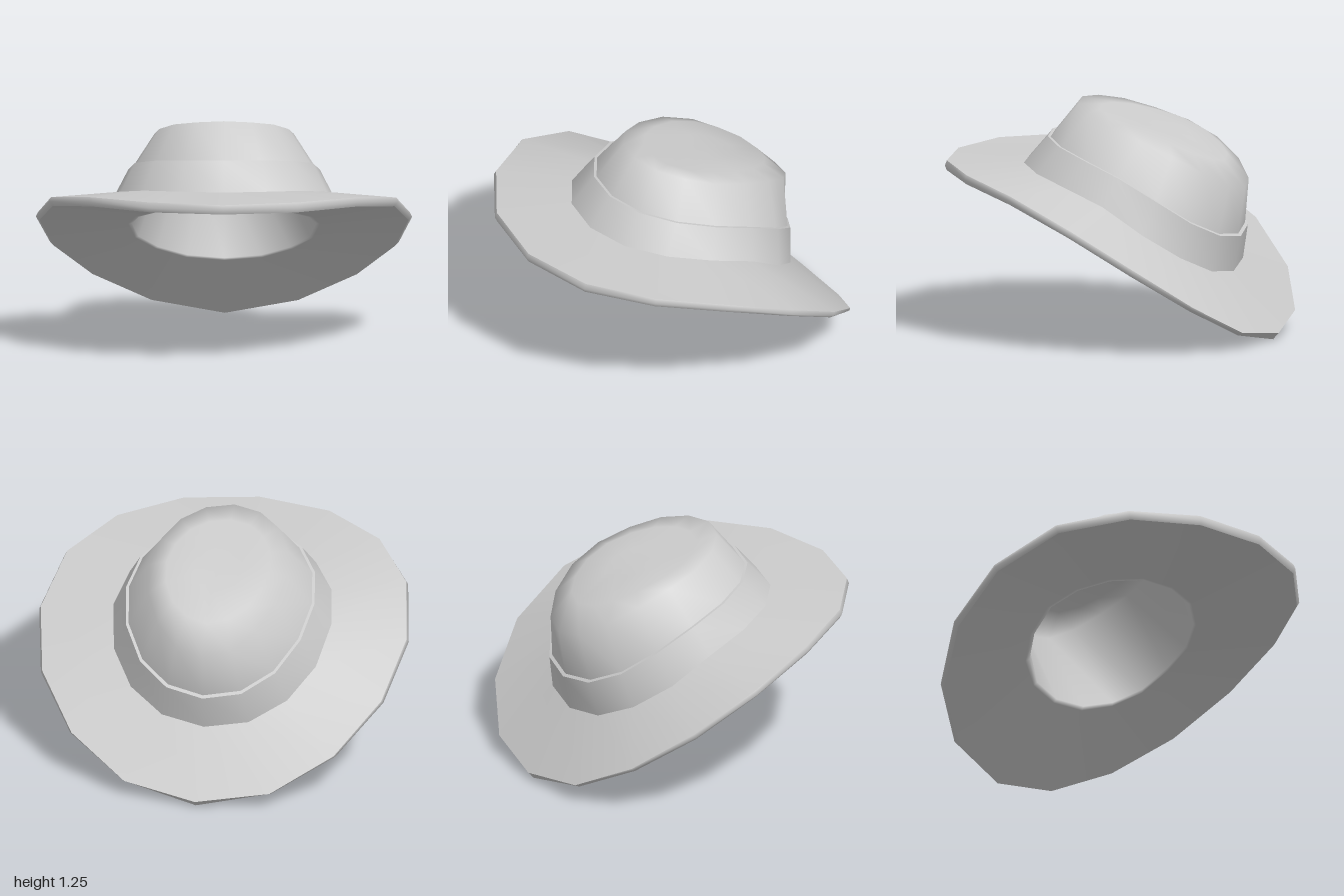
import * as THREE from 'three';
import { mergeVertices, toCreasedNormals } from 'three/addons/utils/BufferGeometryUtils.js';

const SIDES = 16;

// Height along z, read from [z, y] pairs running front to back
function heightAt(profile, z) {
  for (let i = 1; i < profile.length; i++) {
    const [z0, y0] = profile[i - 1], [z1, y1] = profile[i];
    if (z >= z1 || i === profile.length - 1) {
      const t = THREE.MathUtils.clamp((z0 - z) / (z0 - z1), 0, 1);
      return y0 + (y1 - y0) * t;
    }
  }
}

// Egg-shaped loop: half width, front z, back z, backward bow of the sides, height profile
function ring(halfWidth, front, back, bow, profile, lift = 0) {
  const pts = [];
  for (let k = 0; k < SIDES; k++) {
    const a = (k / SIDES) * Math.PI * 2, s = Math.sin(a);
    const x = halfWidth * Math.sign(s) * Math.abs(s) ** 0.96;
    const z = (front + back) / 2 + ((front - back) / 2) * Math.cos(a) - bow * s * s;
    pts.push([x, heightAt(profile, z) + lift, z]);
  }
  return pts;
}

// Skin a list of loops; crease = 0 keeps everything smooth
function loft(name, rings, crease = 0) {
  const pos = rings.flat(2), idx = [];
  for (let i = 0; i < rings.length - 1; i++) {
    for (let k = 0; k < SIDES; k++) {
      const n = (k + 1) % SIDES, a = i * SIDES, b = a + SIDES;
      idx.push(a + k, b + k, b + n, a + k, b + n, a + n);
    }
  }
  let geo = new THREE.BufferGeometry();
  geo.setAttribute('position', new THREE.Float32BufferAttribute(pos, 3));
  geo.setIndex(idx);
  geo = mergeVertices(geo);
  if (crease) geo = toCreasedNormals(geo, crease);
  else geo.computeVertexNormals();
  const mat = new THREE.MeshStandardMaterial({ color: 0xcccccc, side: THREE.DoubleSide });
  const mesh = new THREE.Mesh(geo, mat);
  mesh.name = name;
  return mesh;
}

// Height profiles of the main loops
const TOP = [[0.2, 1.245], [0, 1.195], [-0.3, 1.11], [-0.44, 1.05], [-0.6, 0.965], [-0.725, 0.81]];
const TOP_EDGE = [[0.2, 1.25], [0.16, 1.235], [0.06, 1.205], [-0.08, 1.155], [-0.26, 1.095], [-0.44, 1.015], [-0.59, 0.92], [-0.69, 0.84], [-0.725, 0.81]];
const BAND = [[0.37, 1.07], [0.17, 1.03], [0, 0.985], [-0.2, 0.91], [-0.4, 0.79], [-0.56, 0.665], [-0.7, 0.55]];
const BASE = [[0.49, 0.92], [0.44, 0.915], [0.28, 0.89], [0.08, 0.845], [-0.14, 0.765], [-0.36, 0.61], [-0.54, 0.47], [-0.66, 0.36]];
const RIM = [[0.91, 0.93], [0.83, 0.93], [0.6, 0.915], [0.26, 0.85], [-0.1, 0.7], [-0.44, 0.49], [-0.71, 0.265], [-0.86, 0.1], [-0.91, 0.04]];
const MID = [[0.91, 0.905], [0.6, 0.89], [0.27, 0.83], [-0.1, 0.675], [-0.44, 0.47], [-0.71, 0.25], [-0.86, 0.085], [-0.91, 0.025]];
const EDGE = [[0.91, 0.88], [0.6, 0.865], [0.27, 0.805], [-0.1, 0.655], [-0.44, 0.445], [-0.71, 0.225], [-0.84, 0.075], [-0.885, 0.005]];
const UNDER = [[0.91, 0.88], [0.6, 0.855], [0.27, 0.79], [-0.1, 0.65], [-0.4, 0.445], [-0.7, 0.2]];

// Domed top, as loops growing from the centre towards an edge
function topLoops(halfWidth, front, back, lift) {
  const mid = -0.26;
  return [0, 0.35, 0.75].map((s) =>
    ring(halfWidth * s, mid + (front - mid) * s, mid + (back - mid) * s, 0, TOP, lift));
}

export function createModel() {
  const hat = new THREE.Group();
  hat.name = 'hat';

  const bandTop = ring(0.51, 0.365, -0.7, 0.03, BAND);
  const bandInner = ring(0.495, 0.35, -0.685, 0.03, BAND);
  const base = ring(0.59, 0.495, -0.66, 0.055, BASE);
  const rimTop = ring(0.99, 0.905, -0.915, 0.1, RIM);
  const rimBottom = ring(0.98, 0.905, -0.885, 0.1, EDGE);

  // Crown: domed top and flared wall
  hat.add(loft('crown', [
    ...topLoops(0.37, 0.2, -0.725, 0),
    ring(0.37, 0.2, -0.725, 0, TOP_EDGE),
    bandInner,
  ]));

  // Band around the foot of the crown, with a narrow ledge
  hat.add(loft('band', [bandInner, bandTop, base], 0.7));

  // Upper face of the brim
  hat.add(loft('brim', [base, rimTop]));

  // Rounded rim edge
  hat.add(loft('rim', [rimTop, ring(1, 0.915, -0.905, 0.1, MID), rimBottom]));

  // Underside of the brim, running on into the tapering inside of the crown
  hat.add(loft('lining', [
    rimBottom,
    ring(0.51, 0.315, -0.5, 0.035, UNDER),
    ring(0.49, 0.3, -0.48, 0.03, UNDER),
    ring(0.33, 0.14, -0.67, 0, TOP_EDGE, -0.05),
    ...topLoops(0.33, 0.14, -0.67, -0.05).reverse(),
  ]));
  return hat;
}
